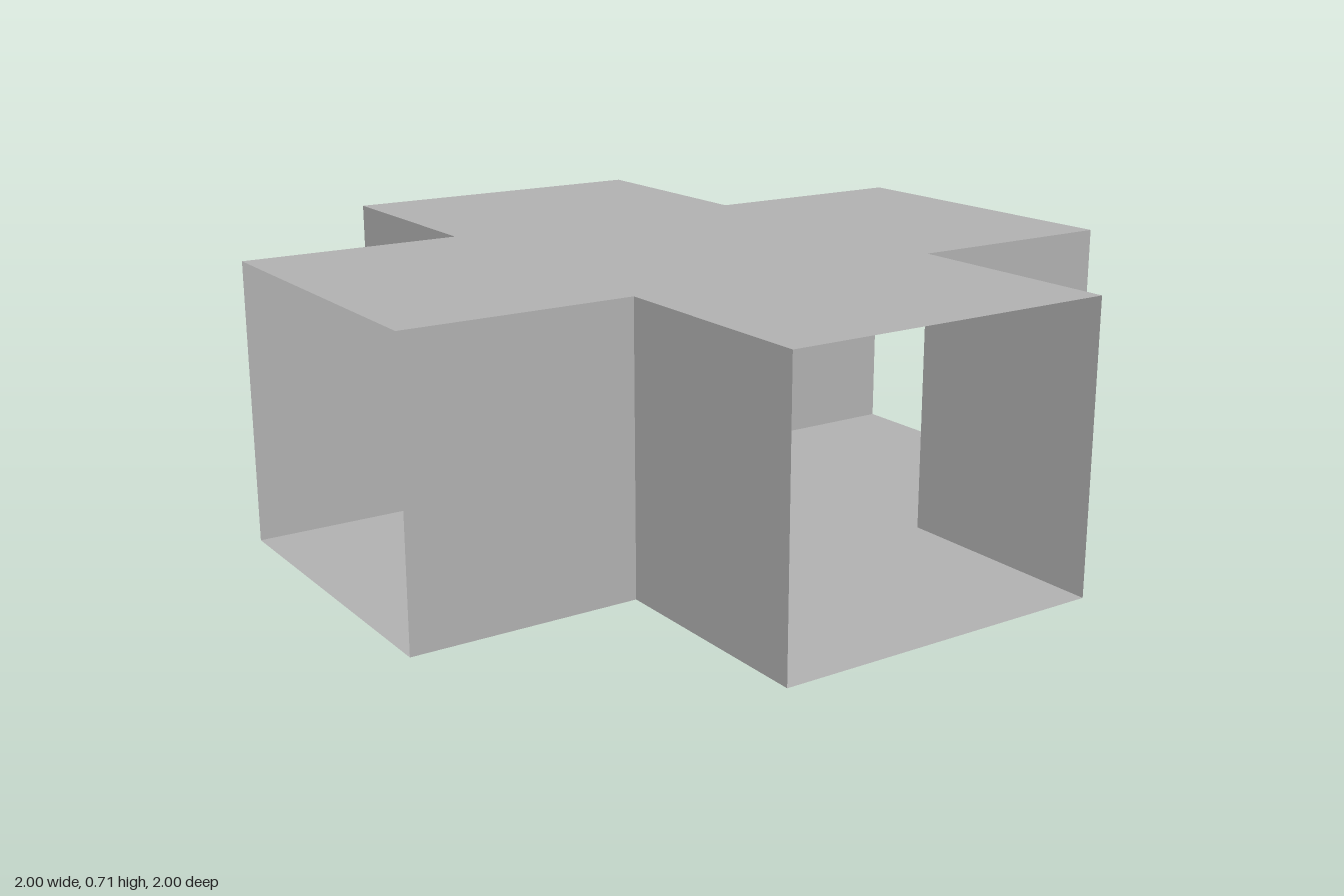
import * as THREE from 'three';

const HALF = 3 / 7;    // half width of each duct
const REACH = 1;       // distance from the centre to each open end
const HEIGHT = 5 / 7;

export function createModel() {
  const model = new THREE.Group();
  model.name = 'crossDuct';
  const grey = new THREE.MeshStandardMaterial({ color: 0xb2b2b2, side: THREE.DoubleSide });
  grey.name = 'plain grey';

  // Plus-shaped sheet shared by the floor and the roof
  const a = HALF, r = REACH;
  const cross = new THREE.Shape([
    [a, r], [-a, r], [-a, a], [-r, a], [-r, -a], [-a, -a],
    [-a, -r], [a, -r], [a, -a], [r, -a], [r, a], [a, a],
  ].map(([x, y]) => new THREE.Vector2(x, y)));

  const sheet = (name, y, tilt) => {
    const mesh = new THREE.Mesh(new THREE.ShapeGeometry(cross), grey);
    mesh.name = name;
    mesh.rotation.x = tilt;
    mesh.position.y = y;
    model.add(mesh);
  };
  sheet('floor', 0, Math.PI / 2);
  sheet('roof', HEIGHT, -Math.PI / 2);

  // Four inner corners, each made of two thin walls; all duct ends stay open
  const length = REACH - HALF, middle = (REACH + HALF) / 2;
  const wallGeometry = new THREE.PlaneGeometry(length, HEIGHT);
  for (let i = 0; i < 4; i++) {
    const corner = new THREE.Group();
    corner.name = 'cornerWalls' + (i + 1);
    corner.rotation.y = i * Math.PI / 2;

    const sideWall = new THREE.Mesh(wallGeometry, grey);
    sideWall.name = 'sideWall';
    sideWall.position.set(middle, HEIGHT / 2, HALF);

    const endWall = new THREE.Mesh(wallGeometry, grey);
    endWall.name = 'endWall';
    endWall.rotation.y = Math.PI / 2;
    endWall.position.set(HALF, HEIGHT / 2, middle);

    corner.add(sideWall, endWall);
    model.add(corner);
  }
  return model;
}
